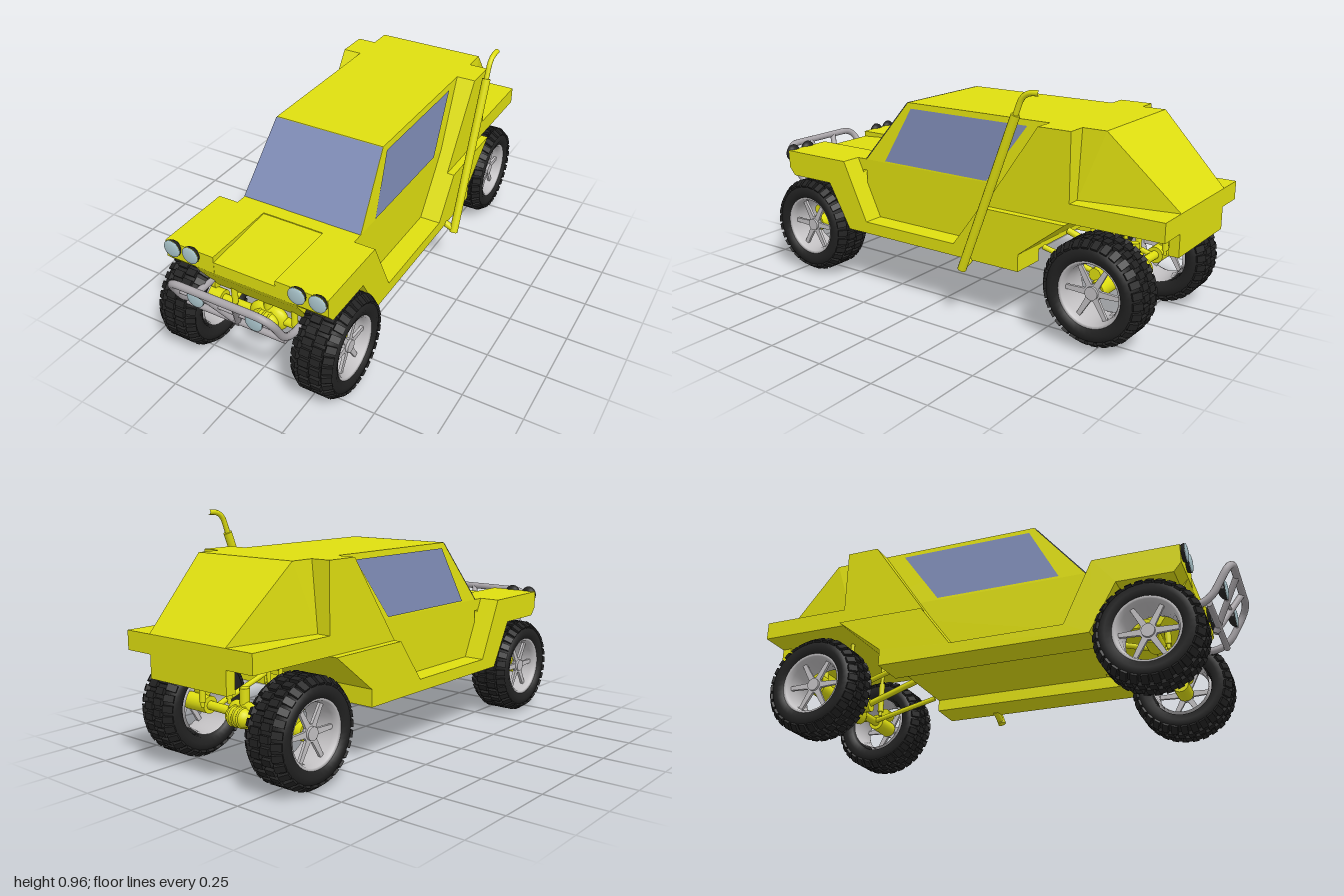
import * as THREE from 'three';
import { mergeGeometries } from 'three/addons/utils/BufferGeometryUtils.js';
import { ConvexGeometry } from 'three/addons/geometries/ConvexGeometry.js';

const V = (x, y, z) => new THREE.Vector3(x, y, z);

export function createModel() {
  const paint = (name, color, extra = {}) => new THREE.MeshStandardMaterial({ name, color, ...extra });
  const yellow = paint('yellow body', 0xdede10);
  const glass = paint('blue glass', 0x7e8bb5, { side: THREE.DoubleSide });
  const rubber = paint('black rubber', 0x222222);
  const silver = paint('silver rim', 0xc2c0c2, { side: THREE.DoubleSide });
  const steel = paint('grey steel', 0xaaa6aa);
  const lens = paint('pale lens', 0xabc6cd);

  const car = new THREE.Group();
  car.name = 'buggy';
  car.position.x = -0.01;

  const add = (name, geo, mat, parent = car) => {
    const m = new THREE.Mesh(geo, mat);
    m.name = name;
    parent.add(m);
    return m;
  };
  // Side profile of [z, y] points extruded from x0 to x1
  const slab = (pts, x0, x1) => {
    const shape = new THREE.Shape(pts.map(([z, y]) => new THREE.Vector2(z, y)));
    return new THREE.ExtrudeGeometry(shape, { depth: x1 - x0, bevelEnabled: false })
      .rotateY(-Math.PI / 2).translate(x1, 0, 0);
  };
  const bothSides = (name, pts, x0, x1) => {
    add('left' + name, slab(pts, x0, x1), yellow);
    add('right' + name, slab(pts, -x1, -x0), yellow);
  };
  const rod = (name, a, b, r, mat, parent = car, sides = 14) => {
    const d = b.clone().sub(a);
    const m = add(name, new THREE.CylinderGeometry(r, r, d.length(), sides), mat, parent);
    m.position.copy(a).addScaledVector(d, 0.5);
    m.quaternion.setFromUnitVectors(V(0, 1, 0), d.normalize());
    return m;
  };
  // Tube along straight runs with rounded corners
  const bentTube = (pts, bend, r, segs) => {
    const path = new THREE.CurvePath();
    let last = pts[0];
    for (let i = 1; i < pts.length - 1; i++) {
      const p = pts[i];
      const toward = (q) => p.clone().add(q.clone().sub(p).setLength(bend));
      const a = toward(pts[i - 1]), b = toward(pts[i + 1]);
      path.add(new THREE.LineCurve3(last, a));
      path.add(new THREE.QuadraticBezierCurve3(a, p, b));
      last = b;
    }
    path.add(new THREE.LineCurve3(last, pts[pts.length - 1]));
    return new THREE.TubeGeometry(path, segs, r, 12);
  };
  const quad = (name, [a, b, c, d], mat) => {
    const geo = new THREE.BufferGeometry().setFromPoints([a, b, c, a, c, d]);
    geo.computeVertexNormals();
    add(name, geo, mat);
  };

  // Cabin with tapered sides and sloping tail
  const cabinPts = [];
  for (const s of [1, -1]) cabinPts.push(V(.27 * s, .54, .43), V(.245 * s, .81, .21),
    V(.245 * s, .81, -.72), V(.27 * s, .54, -.62), V(.2 * s, .54, -1));
  add('cabin', new ConvexGeometry(cabinPts), yellow);

  // Lower body, nose with sunken hood panel, fenders and sills
  add('tub', slab([[.43, .54], [.43, .29], [-.42, .29], [-.42, .31], [-.62, .465], [-.62, .54]], -.27, .27), yellow);
  add('nose', slab([[.43, .536], [.43, .29], [.7, .29], [.8, .43], [.819, .463], [.819, .515], [.49, .536]], -.225, .225), yellow);
  add('cowl', new THREE.BoxGeometry(.54, .05, .07).translate(0, .515, .455), yellow);
  bothSides('HoodPanel', [[.45, .54], [.45, .465], [.82, .465], [.82, .54]], .137, .27);
  bothSides('FenderAndSill', [[.82, .54], [.82, .465], [.79, .43], [.57, .43], [.46, .24], [-.42, .24],
    [-.42, .31], [-.62, .465], [-.24, .465], [-.11, .29], [.36, .29], [.48, .54]], .21, .36);
  bothSides('RearPillar', [[-.24, .465], [-.62, .465], [-.62, .81], [-.48, .81]], .2, .328);
  add('rearDeck', new THREE.BoxGeometry(.656, .075, .38).translate(0, .5025, -.81), yellow);
  add('tailPanel', new THREE.BoxGeometry(.4, .1, .04).translate(0, .425, -.98), yellow);

  // Windows
  const out = .004;
  quad('windscreen', [V(-.27, .542, .433), V(.27, .542, .433), V(.245, .81, .214), V(-.245, .81, .214)], glass);
  for (const s of [1, -1]) {
    const at = (z, y) => V(s * (.27 - (y - .54) * .025 / .27 + out), y, z);
    const c = [at(.32, .547), at(-.21, .547), at(-.385, .787), at(.19, .787)];
    quad(s > 0 ? 'leftWindow' : 'rightWindow', s > 0 ? c : c.reverse(), glass);
  }

  // Lamps: dark bowl with a shallow domed lens
  const lamp = (name, x, y, z) => {
    const g = new THREE.Group();
    g.name = name;
    g.position.set(x, y, z);
    add('housing', new THREE.SphereGeometry(.038, 20, 8, 0, Math.PI * 2, 0, Math.PI / 2)
      .rotateX(-Math.PI / 2).scale(1, 1, .8), rubber, g);
    add('lens', new THREE.SphereGeometry(.037, 20, 8, 0, Math.PI * 2, 0, Math.PI / 2)
      .rotateX(Math.PI / 2).scale(1, 1, .22), lens, g);
    car.add(g);
  };
  for (const x of [-.319, -.233, .237, .325]) lamp('headlamp', x, .522, .835);
  for (const x of [-.132, .126]) lamp('spotLamp', x, .435, .945);

  // Front guard bar
  const barZ = (y) => .885 + (y - .345) * .59;
  const hoop = [];
  for (const s of [-1, 1]) {
    const leg = [V(.222 * s, .345, .74), V(.222 * s, .345, barZ(.345)), V(.222 * s, .515, barZ(.515))];
    hoop.push(...(s < 0 ? leg : leg.reverse()));
  }
  add('guardHoop', bentTube(hoop, .07, .015, 90), steel);
  rod('guardLowerBar', V(-.22, .348, .887), V(.22, .348, .887), .013, steel);
  rod('guardMiddleBar', V(-.22, .432, barZ(.432)), V(.22, .432, barZ(.432)), .006, steel);
  for (const s of [-1, 1]) rod('guardBrace', V(0, .325, barZ(.325)), V(.08 * s, .515, barZ(.515)), .013, steel);

  // Raised air intake pipe
  const pipe = new THREE.Group();
  pipe.name = 'airIntake';
  car.add(pipe);
  rod('intakeBody', V(.4, .21, -.183), V(.4, .86, -.43), .018, yellow, pipe);
  rod('intakeElbow', V(.4, .222, -.188), V(.33, .25, -.188), .015, yellow, pipe);
  add('intakeTop', bentTube([V(.4, .85, -.426), V(.4, .945, -.462), V(.4, .948, -.53)], .045, .011, 24), yellow, pipe);

  // Wheel geometries, axle along x
  const lathe = (pts, n) => new THREE.LatheGeometry(pts.map(([r, h]) => new THREE.Vector2(r, h)), n).rotateZ(-Math.PI / 2);
  const tyreGeo = lathe([[.125, -.06], [.13, -.08], [.155, -.09], [.178, -.084], [.194, -.06], [.196, 0],
    [.194, .06], [.178, .084], [.155, .09], [.13, .08], [.125, .06], [.122, 0], [.125, -.06]], 40);
  const knobs = [];
  const count = 30;
  for (let i = 0; i < count; i++) {
    for (const [x, r, w, tilt, shift] of [[-.068, .19, .04, -.6, 0], [-.024, .199, .042, 0, .5],
      [.024, .199, .042, 0, 0], [.068, .19, .04, .6, .5]]) {
      knobs.push(new THREE.BoxGeometry(w, .018, .027).rotateZ(-tilt).translate(x, r, 0)
        .rotateX((i + shift) / count * Math.PI * 2));
    }
  }
  const treadGeo = mergeGeometries(knobs);
  const rimGeo = lathe([[.118, -.08], [.112, -.06], [.108, 0], [.112, .055], [.12, .075], [.13, .079], [.13, .07]], 36);
  // Six tapered spokes as a star plate
  const star = new THREE.Shape();
  for (let i = 0; i < 24; i++) {
    const k = i % 4, base = Math.floor(i / 4) * Math.PI / 3;
    const r = [.118, .118, .034, .034][k], a = base + [-.07, .07, .36, .69][k];
    star[i ? 'lineTo' : 'moveTo'](r * Math.cos(a), r * Math.sin(a));
  }
  const starGeo = new THREE.ExtrudeGeometry(star, { depth: .012, bevelEnabled: false }).rotateY(Math.PI / 2);

  const wheel = (name, x, y, z) => {
    const g = new THREE.Group();
    g.name = name;
    g.position.set(x, y, z);
    if (x < 0) g.rotation.y = Math.PI;
    add('tyre', tyreGeo, rubber, g);
    add('tread', treadGeo, rubber, g);
    add('rim', rimGeo, silver, g);
    add('spokes', starGeo, silver, g).position.x = .04;
    rod('hubCap', V(.03, 0, 0), V(.062, 0, 0), .026, silver, g, 18);
    rod('brakeHub', V(-.09, 0, 0), V(.03, 0, 0), .035, yellow, g, 18);
    rod('brakeCaliper', V(-.05, .05, .02), V(.0, .05, .02), .025, yellow, g);
    car.add(g);
  };

  // Axle with differential, dampers and links
  const axle = (end, z, dir, wheelX, yL, yR) => {
    const mid = (yL + yR) / 2;
    rod(end + 'Axle', V(-.26, yR, z), V(.26, yL, z), .018, yellow);
    const diff = new THREE.Group();
    diff.name = end + 'Differential';
    diff.position.set(0, mid, z);
    car.add(diff);
    const capsule = (r, len) => new THREE.CapsuleGeometry(r, len, 8, 18).rotateZ(Math.PI / 2);
    add('flange', capsule(.055, .065).scale(1, 1, .55), yellow, diff);
    add('cover', capsule(.038, .045), yellow, diff).position.z = .03 * dir;
    for (const x of [-.025, 0, .025])
      add('rib', new THREE.TorusGeometry(.037, .005, 6, 24).rotateY(Math.PI / 2), yellow, diff).position.set(x, 0, .03 * dir);
    rod('pinion', V(0, .01, 0), V(0, .01, -.08 * dir), .028, yellow, diff);
    rod(end + 'DriveShaft', V(0, mid + .01, z - .05 * dir), V(0, .31, z - .3 * dir), .014, yellow);
    rod(end + 'Mount', V(0, mid, z), V(0, .32, z), .02, yellow);
    for (const s of [-1, 1]) {
      for (const x of [.14, .18]) {
        const zz = z + (x < .16 ? .05 : -.05) * (dir < 0 ? 1 : .6);
        rod(end + 'DamperRod', V(x * s, mid + .01, zz), V(x * s, .47, zz), .008, yellow);
        rod(end + 'Damper', V(x * s, mid + .03, zz), V(x * s, .38, zz), .013, yellow);
      }
      rod(end + 'Link', V(.17 * s, mid, z), V(.19 * s, .295, z - .3 * dir), .011, yellow);
    }
    wheel(end + 'LeftWheel', wheelX, yL, z);
    wheel(end + 'RightWheel', -wheelX, yR, z);
  };
  axle('front', .68, 1, .308, .218, .208);
  axle('rear', -.73, -1, .283, .221, .209);

  const root = new THREE.Group();
  root.add(car);
  return root;
}
